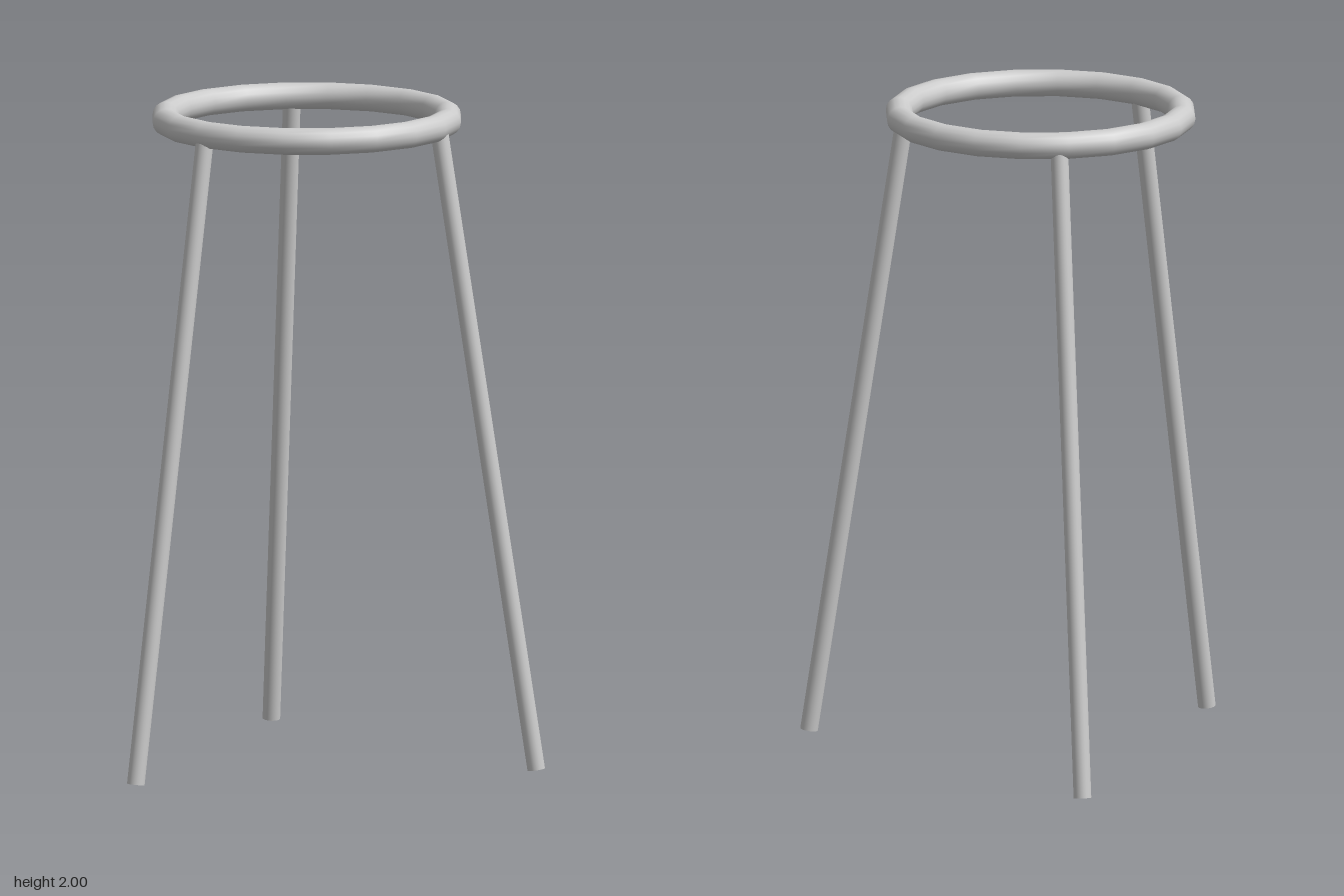
import * as THREE from 'three';

export function createModel() {
  const model = new THREE.Group();
  const material = new THREE.MeshStandardMaterial({ color: 0xcccccc });

  // Open seat ring
  const ring = new THREE.Mesh(new THREE.TorusGeometry(0.431, 0.041, 16, 20), material);
  ring.name = 'seatRing';
  ring.rotation.x = -Math.PI / 2;
  ring.position.set(-0.036, 1.959, -0.145);
  model.add(ring);

  // Three splayed legs, each a straight rod from foot to ring
  const up = new THREE.Vector3(0, 1, 0);
  const addLeg = (name, foot, head) => {
    const a = new THREE.Vector3(...foot);
    const axis = new THREE.Vector3(...head).sub(a);
    const leg = new THREE.Mesh(new THREE.CylinderGeometry(0.027, 0.027, axis.length(), 20), material);
    leg.name = name;
    leg.position.copy(a).addScaledVector(axis, 0.5);
    leg.quaternion.setFromUnitVectors(up, axis.normalize());
    model.add(leg);
  };
  addLeg('frontLeg', [-0.036, 0.004, 0.586], [-0.036, 1.955, 0.289]);
  addLeg('backLeftLeg', [0.62, 0.004, -0.47], [0.366, 1.955, -0.308]);
  addLeg('backRightLeg', [-0.622, 0.004, -0.58], [-0.371, 1.955, -0.417]);

  return model;
}
